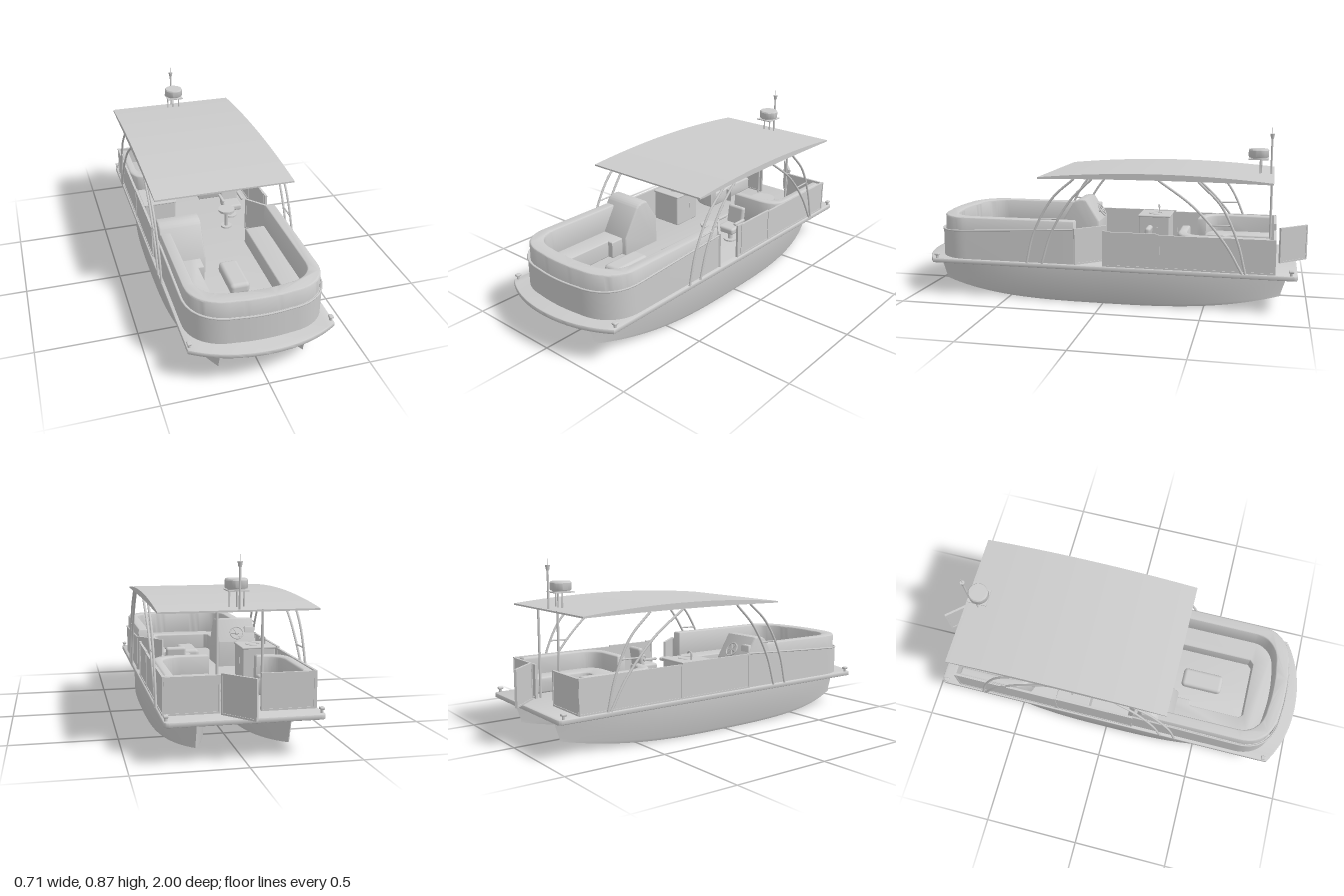
import * as THREE from 'three';
import { toCreasedNormals } from 'three/addons/utils/BufferGeometryUtils.js';
import { RoundedBoxGeometry } from 'three/addons/geometries/RoundedBoxGeometry.js';

const DECK = 0.195;

export function createModel() {
  const model = new THREE.Group();
  const mat = new THREE.MeshStandardMaterial({ color: 0xcccccc, side: THREE.DoubleSide });
  const V = (x, y, z) => new THREE.Vector3(x, y, z);

  function add(name, geo, x = 0, y = 0, z = 0, parent = model) {
    const m = new THREE.Mesh(geo, mat);
    m.name = name;
    m.position.set(x, y, z);
    parent.add(m);
    return m;
  }
  const box = (name, w, h, d, x, y, z, p) => add(name, new THREE.BoxGeometry(w, h, d), x, y, z, p);
  const soft = (name, w, h, d, x, y, z, p, r = 0.012) => add(name, new RoundedBoxGeometry(w, h, d, 3, r), x, y, z, p);
  const rod = (name, r, h, x, y, z, p, r2 = r) => add(name, new THREE.CylinderGeometry(r2, r, h, 20), x, y + h / 2, z, p);
  const tube = (name, pts, r) =>
    add(name, new THREE.TubeGeometry(new THREE.CatmullRomCurve3(pts), 48, r, 8));

  // Plan outline (x, z) extruded between two heights
  function slab(name, pts, y0, y1, bevel = 0, shapeTop = null) {
    const geo = new THREE.ExtrudeGeometry(new THREE.Shape(pts), {
      depth: y1 - y0 - 2 * bevel, bevelEnabled: bevel > 0, bevelSize: bevel,
      bevelThickness: bevel, bevelOffset: -bevel, bevelSegments: 4,
    });
    geo.rotateX(Math.PI / 2).translate(0, y1 - bevel, 0);
    if (shapeTop) {
      const p = geo.attributes.position;
      for (let i = 0; i < p.count; i++) if (p.getY(i) > (y0 + y1) / 2) p.setY(i, shapeTop(p.getZ(i)));
    }
    return add(name, toCreasedNormals(geo, 0.6));
  }
  // Bow U in plan: half width, front, back, corner size
  function bowPath(w, front, back, r) {
    const s = new THREE.Path();
    s.moveTo(-w, back).lineTo(-w, front - r);
    s.bezierCurveTo(-w, front - r * 0.4, -w + r * 0.45, front - 0.015, -w + r, front - 0.01);
    s.quadraticCurveTo(0, front + 0.01, w - r, front - 0.01);
    s.bezierCurveTo(w - r * 0.45, front - 0.015, w, front - r * 0.4, w, front - r);
    s.lineTo(w, back);
    return s.getPoints(14);
  }
  const band = (outer, inner) => [...outer, ...inner.slice().reverse()];

  // Twin hulls: full sides drawn to a stem at each end, rockered bottom, chamfered chine
  function hullGeometry() {
    const N = 64, pos = [], idx = [];
    for (let i = 0; i <= N; i++) {
      const t = Math.sin((i / N - 0.5) * Math.PI), k = Math.abs(t) ** 3;
      const w = 0.132 * (1 - k), yb = 0.002 + 0.056 * k;
      const zTop = 0.01 + 0.915 * t, zBot = 0.01 + 0.88 * t;
      const ring = [[w, 0.178, zTop], [w * 0.98, yb + 0.014, zBot], [w * 0.92, yb, zBot]];
      for (const [x, y, z] of ring) pos.push(-x, y, z);
      for (const [x, y, z] of ring.reverse()) pos.push(x, y, z);
    }
    for (let i = 0; i < N; i++) for (let j = 0; j < 5; j++) {
      const a = i * 6 + j, b = a + 1, c = a + 6, d = c + 1;
      idx.push(a, b, c, b, d, c);
    }
    const g = new THREE.BufferGeometry();
    g.setAttribute('position', new THREE.Float32BufferAttribute(pos, 3));
    g.setIndex(idx);
    return toCreasedNormals(g, 0.5);
  }
  for (const s of [-1, 1]) add('hull', hullGeometry(), s * 0.205);

  // Deck with arched bow edge and rounded stern corners
  const d = new THREE.Shape();
  d.moveTo(-0.325, -0.945).lineTo(0.325, -0.945).quadraticCurveTo(0.35, -0.945, 0.35, -0.92);
  d.lineTo(0.35, 0.9).quadraticCurveTo(0.2, 1.0, 0, 1.0).quadraticCurveTo(-0.2, 1.0, -0.35, 0.9);
  d.lineTo(-0.35, -0.92).quadraticCurveTo(-0.35, -0.945, -0.325, -0.945);
  slab('deck', d.getPoints(16), 0.172, DECK, 0.004);

  // Bow fence, its sloping rail, and the wraparound lounge
  const railY = z => 0.33 + 0.042 * Math.min(1, Math.max(0, (0.92 - z) / 0.77)) ** 0.8;
  const fence = bowPath(0.334, 0.92, 0.15, 0.2);
  slab('bowFence', band(fence, bowPath(0.326, 0.912, 0.15, 0.195)), DECK, 0.34, 0, railY);
  tube('bowRail', fence.map(p => V(p.x, railY(p.y), p.y)), 0.0045);
  const innerBack = bowPath(0.27, 0.835, 0.15, 0.14);
  slab('bowBackrest', band(bowPath(0.326, 0.905, 0.15, 0.19), innerBack), 0.2, 0.412, 0.01);
  const well = [[-0.14, 0.15], [-0.14, 0.43], [-0.17, 0.43], [-0.17, 0.7], [-0.15, 0.72],
    [0.145, 0.72], [0.165, 0.7], [0.165, 0.15]].map(([x, z]) => new THREE.Vector2(x, z));
  slab('bowSeat', band(bowPath(0.275, 0.84, 0.15, 0.14), well), DECK, 0.285, 0.006);
  soft('bowOttoman', 0.1, 0.06, 0.22, 0, 0.222, 0.47, model, 0.02);

  // Helm console with a forward-facing reclined backrest
  const hp = new THREE.Shape();
  hp.moveTo(-0.35, DECK).lineTo(-0.35, 0.285).lineTo(-0.265, 0.425);
  hp.quadraticCurveTo(-0.245, 0.45, -0.2, 0.442).lineTo(-0.13, 0.33).lineTo(-0.13, DECK);
  const helmGeo = new THREE.ExtrudeGeometry(hp, {
    depth: 0.2, bevelSize: 0.008, bevelThickness: 0.008, bevelSegments: 3,
  });
  add('helmConsole', toCreasedNormals(helmGeo.rotateY(Math.PI / 2), 0.6), -0.32);
  const wheel = new THREE.Group();
  wheel.name = 'steeringWheel';
  wheel.position.set(-0.22, 0.375, 0.138);
  wheel.rotation.x = 0.57;
  model.add(wheel);
  add('wheelRim', new THREE.TorusGeometry(0.036, 0.004, 8, 32), 0, 0, -0.012, wheel);
  for (let i = 0; i < 3; i++) {
    box('wheelSpoke', 0.072, 0.005, 0.004, 0, 0, -0.012, wheel).rotation.z = (i * Math.PI) / 3;
  }
  rod('wheelColumn', 0.006, 0.03, 0, -0.015, 0, wheel).rotation.x = Math.PI / 2;

  // Framed fence panel running from (x0, z0) to (x1, z1)
  function panel(name, x0, z0, x1, z1, top = 0.368) {
    const g = new THREE.Group(), L = Math.hypot(x1 - x0, z1 - z0), h = top - DECK;
    g.name = name;
    g.position.set((x0 + x1) / 2, DECK, (z0 + z1) / 2);
    g.rotation.y = -Math.atan2(z1 - z0, x1 - x0);
    model.add(g);
    box('panelSheet', L, h, 0.006, 0, h / 2, 0, g);
    for (const y of [0.004, h - 0.004]) box('panelRail', L, 0.008, 0.012, 0, y, 0, g);
    for (const s of [-1, 1]) box('panelPost', 0.008, h, 0.012, s * (L / 2 - 0.004), h / 2, 0, g);
  }
  const X = 0.336;
  panel('sidePanel', X, 0, X, -0.04, 0.374);
  panel('sidePanel', X, -0.04, X, -0.28, 0.37);
  panel('sidePanel', -X, 0.15, -X, -0.28, 0.372);
  for (const s of [-1, 1]) {
    panel('sidePanel', s * X, -0.28, s * X, -0.84, 0.364);
    panel('sternPanel', s * X, -0.835, s * 0.09, -0.835, 0.362);
  }
  // Open gates
  panel('sideGate', X, 0.145, 0.215, 0.005, 0.378);
  panel('sternGate', 0.09, -0.86, -0.03, -0.995, 0.375);

  // Stern lounges: straight run along the side, rounded turn across the boat
  function lounge(s, front, end) {
    const line = o => {
      const p = new THREE.Path(), x = s * (0.33 - o), r = Math.max(0.02, 0.12 - o * 0.5);
      p.moveTo(x, -0.81).lineTo(x, front - o - r);
      p.quadraticCurveTo(x, front - o, x - s * r, front - o).lineTo(s * end, front - o);
      return p.getPoints(12);
    };
    slab('sternBackrest', band(line(0), line(0.045)), DECK, 0.364, 0.012);
    slab('sternSeat', band(line(0.04), line(0.15)), DECK, 0.275, 0.01);
  }
  lounge(1, -0.36, 0.05);
  lounge(-1, -0.42, 0.17);

  // Pedestal tables
  for (const [x, z, r, y] of [[0.065, -0.62, 0.07, 0.25], [0.12, -0.04, 0.045, 0.295]]) {
    rod('tableLeg', 0.01, y - DECK, x, DECK, z);
    rod('tableFoot', 0.03, 0.008, x, DECK, z);
    rod('tableTop', r, 0.012, x, y, z);
  }

  // Sink cabinet with tap
  soft('cabinet', 0.17, 0.17, 0.17, -0.24, 0.28, -0.18, model, 0.006);
  soft('cabinetTop', 0.18, 0.01, 0.18, -0.24, 0.365, -0.18, model, 0.004);
  add('sinkRim', new THREE.TorusGeometry(0.035, 0.004, 8, 28).rotateX(Math.PI / 2), -0.23, 0.37, -0.18);
  tube('tap', [V(-0.29, 0.365, -0.19), V(-0.29, 0.405, -0.19), V(-0.275, 0.41, -0.19), V(-0.26, 0.4, -0.19)], 0.004);
  box('cabinetHandle', 0.006, 0.03, 0.008, -0.153, 0.29, -0.2);

  // Swivel chair facing the bow
  const chair = new THREE.Group();
  chair.name = 'chair';
  chair.position.set(0.18, DECK, -0.15);
  model.add(chair);
  rod('chairFoot', 0.035, 0.008, 0, 0, 0, chair);
  rod('chairStem', 0.012, 0.06, 0, 0, 0, chair);
  soft('chairSeat', 0.1, 0.035, 0.1, 0, 0.07, 0, chair);
  soft('chairBack', 0.1, 0.12, 0.028, 0, 0.12, -0.05, chair).rotation.x = -0.15;
  for (const s of [-1, 1]) soft('armrest', 0.016, 0.014, 0.085, s * 0.055, 0.115, -0.005, chair, 0.005);

  // Canopy: arched top over a nearly flat underside
  const c = new THREE.Shape();
  c.moveTo(-0.325, 0.626).lineTo(-0.325, 0.634).quadraticCurveTo(0.25, 0.692, 0.82, 0.634);
  c.lineTo(0.82, 0.626).quadraticCurveTo(0.25, 0.64, -0.325, 0.626);
  const canopy = new THREE.ExtrudeGeometry(c, { depth: 0.712, bevelEnabled: false, curveSegments: 28 });
  add('canopy', toCreasedNormals(canopy.rotateY(Math.PI / 2), 0.5), -0.356);

  // Canopy frame: curved legs with cross braces, and straight stern posts
  const legs = [
    [[0.39, 0.195], [0.35, 0.35], [0.25, 0.53], [0.14, 0.63]],
    [[0.31, 0.195], [0.26, 0.35], [0.16, 0.52], [0.05, 0.632]],
    [[-0.7, 0.195], [-0.66, 0.35], [-0.58, 0.52], [-0.47, 0.632]],
    [[-0.685, 0.195], [-0.6, 0.34], [-0.45, 0.51], [-0.28, 0.634]],
  ];
  for (const s of [-1, 1]) {
    for (const leg of legs) tube('canopyLeg', leg.map(([z, y]) => V(s * 0.349, y, z)), 0.006);
    for (const [z0, z1] of [[0.32, 0.22], [-0.53, -0.63]]) {
      tube('legBrace', [V(s * 0.349, 0.425, z0), V(s * 0.349, 0.427, z1)], 0.004);
    }
    rod('sternPost', 0.006, 0.44, s * 0.1, DECK, -0.81);
  }

  // Radar dome on its stand, and the antenna
  for (const [x, z] of [[-0.033, -0.75], [0.033, -0.75], [0, -0.755]]) rod('radarLeg', 0.004, 0.075, x, 0.638, z);
  box('radarPlate', 0.09, 0.005, 0.1, 0, 0.712, -0.74);
  rod('radarBase', 0.04, 0.008, 0, 0.714, -0.74);
  const dome = [[0, 0.72], [0.048, 0.72], [0.051, 0.725], [0.051, 0.756], [0.046, 0.763], [0, 0.764]];
  const domeGeo = new THREE.LatheGeometry(dome.map(p => new THREE.Vector2(...p)), 36);
  add('radarDome', toCreasedNormals(domeGeo, 0.6), 0, 0, -0.74);
  rod('antennaMast', 0.005, 0.19, 0, 0.63, -0.805);
  rod('antennaCap', 0.007, 0.025, 0, 0.815, -0.805, model, 0.012);
  rod('antennaWhip', 0.0015, 0.032, 0, 0.838, -0.805);

  // Mooring cleats at the deck corners
  for (const s of [-1, 1]) for (const z of [0.88, -0.915]) {
    rod('cleatPost', 0.007, 0.02, s * 0.338, DECK, z);
    soft('cleatHorn', 0.022, 0.012, 0.026, s * 0.338, DECK + 0.02, z, model, 0.005);
  }
  return model;
}
